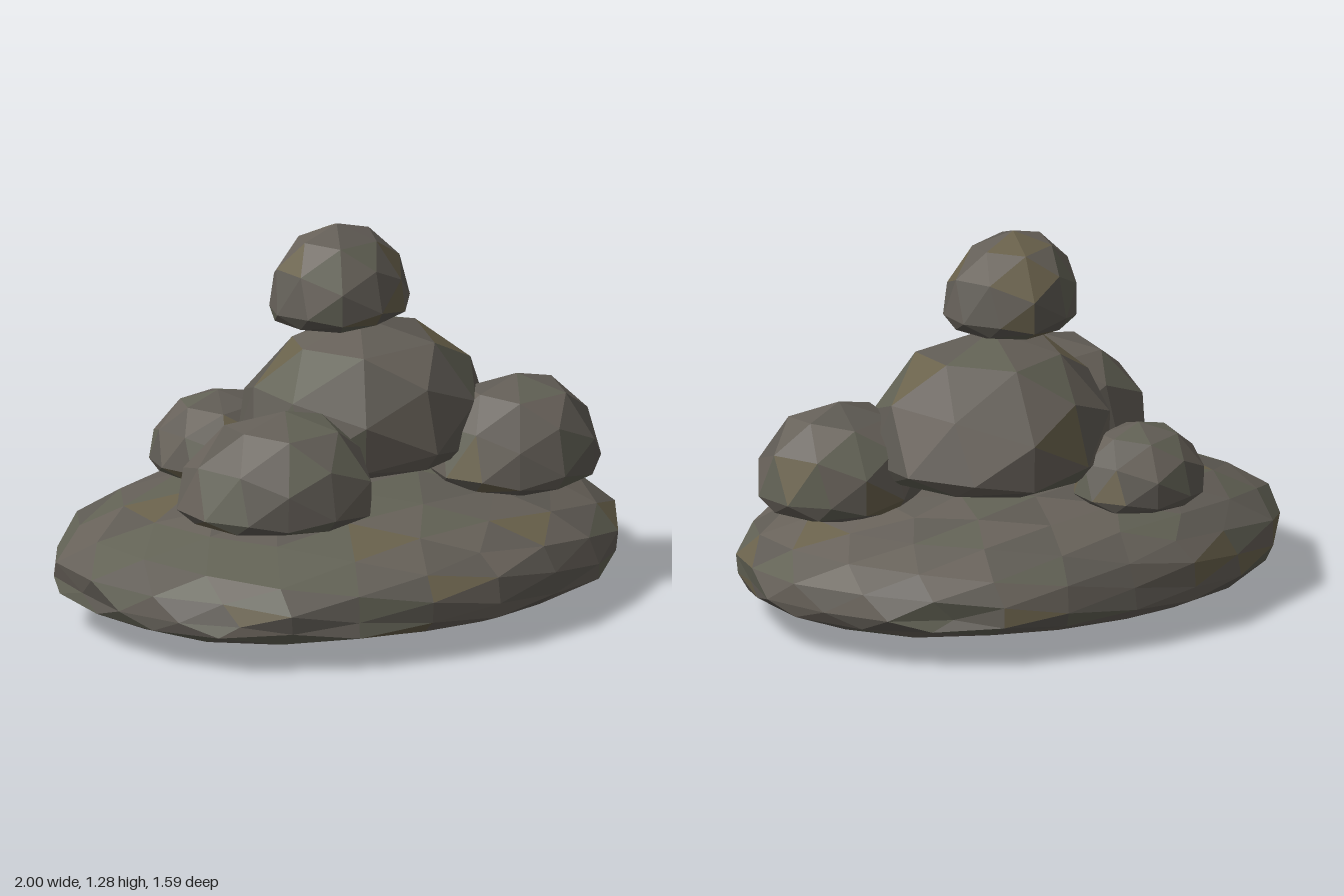
import * as THREE from 'three';

// Weathered stone tones, shared out over the facets
const tones = [0x645f58, 0x68625a, 0x5f5b54, 0x626255, 0x6a624c]
  .map(color => new THREE.MeshStandardMaterial({ color, flatShading: true }));

// Repeatable pseudo-random value in 0..1 from a point
function hash(x, y, z, seed) {
  const r = v => Math.round(v * 1000) / 1000;
  const s = Math.sin(r(x) * 12.9898 + r(y) * 78.233 + r(z) * 37.719 + seed * 4.17) * 43758.5453;
  return s - Math.floor(s);
}

// Faceted boulder: domed above its widest level and flattened below.
// skew bulges one plan diagonal, taper widens the +x end, lean shifts the crown,
// rim above 1 swells the flanks into an upright band.
function boulder({ name, centre, radius, levels, skew, taper = 0, lean = [0, 0], rim = 1, detail = 1, rough = 0.07 }, seed) {
  const [bottom, wide, top] = levels;
  const geo = new THREE.IcosahedronGeometry(1, detail);
  const pos = geo.attributes.position;
  for (let i = 0; i < pos.count; i++) {
    const x = pos.getX(i), y = pos.getY(i), z = pos.getZ(i);
    const flat = Math.hypot(x, z);
    const ux = flat > 1e-4 ? x / flat : 0, uz = flat > 1e-4 ? z / flat : 0;
    const chip = rough * (hash(x, y, z, seed) - 0.4) * Math.min(1, 4 * Math.abs(ux * uz));
    const spread = Math.min(1, flat * rim) * (1 + 2 * skew * ux * uz - chip);
    const lift = 1 - rough * flat * (hash(z, x, y, seed) - 0.5);
    const crown = Math.max(y, 0) ** 2;
    pos.setXYZ(i,
      centre[0] + ux * radius[0] * spread + lean[0] * crown,
      wide + y * lift * (y > 0 ? top - wide : wide - bottom),
      centre[1] + uz * radius[1] * spread * (1 + taper * ux) + lean[1] * crown);
  }
  geo.computeVertexNormals();

  // One tone per facet, the mossy one rare
  geo.clearGroups();
  for (let i = 0; i < pos.count; i += 3) {
    const h = hash(i * 0.37, seed, 1, seed);
    geo.addGroup(i, 3, h > 0.93 ? 4 : Math.floor(h / 0.93 * 4));
  }
  const mesh = new THREE.Mesh(geo, tones);
  mesh.name = name;
  return mesh;
}

// centre and radius are [x, z]; levels are bottom, widest and top heights
const stones = [
  { name: 'baseSlab', centre: [0, 0], radius: [0.998, 0.797], levels: [0, 0.165, 0.45],
    skew: 0.035, lean: [0.05, -0.08], rim: 1.035, detail: 3, rough: 0.05 },
  { name: 'middleBoulder', centre: [0.135, -0.055], radius: [0.475, 0.395], levels: [0.43, 0.55, 0.95],
    skew: -0.04, taper: 0.13, lean: [-0.01, 0.02], rim: 1.02 },
  { name: 'topStone', centre: [0.05, -0.065], radius: [0.27, 0.225], levels: [0.93, 1.02, 1.285],
    skew: -0.04, taper: 0.08, rim: 1.02 },
  { name: 'rightStone', centre: [-0.445, 0.175], radius: [0.325, 0.295], levels: [0.39, 0.47, 0.78],
    skew: 0.08, lean: [0.04, 0], rim: 1.03 },
  { name: 'leftStone', centre: [0.52, 0.29], radius: [0.3, 0.26], levels: [0.34, 0.44, 0.74],
    skew: 0.04, taper: 0.08, lean: [0.02, 0], rim: 1.02 },
  { name: 'backStone', centre: [-0.125, -0.46], radius: [0.255, 0.22], levels: [0.36, 0.43, 0.65],
    skew: -0.05, rim: 1.02 },
];

export function createModel() {
  const group = new THREE.Group();
  group.name = 'stackedStones';
  stones.forEach((stone, i) => group.add(boulder(stone, i + 1)));
  return group;
}
